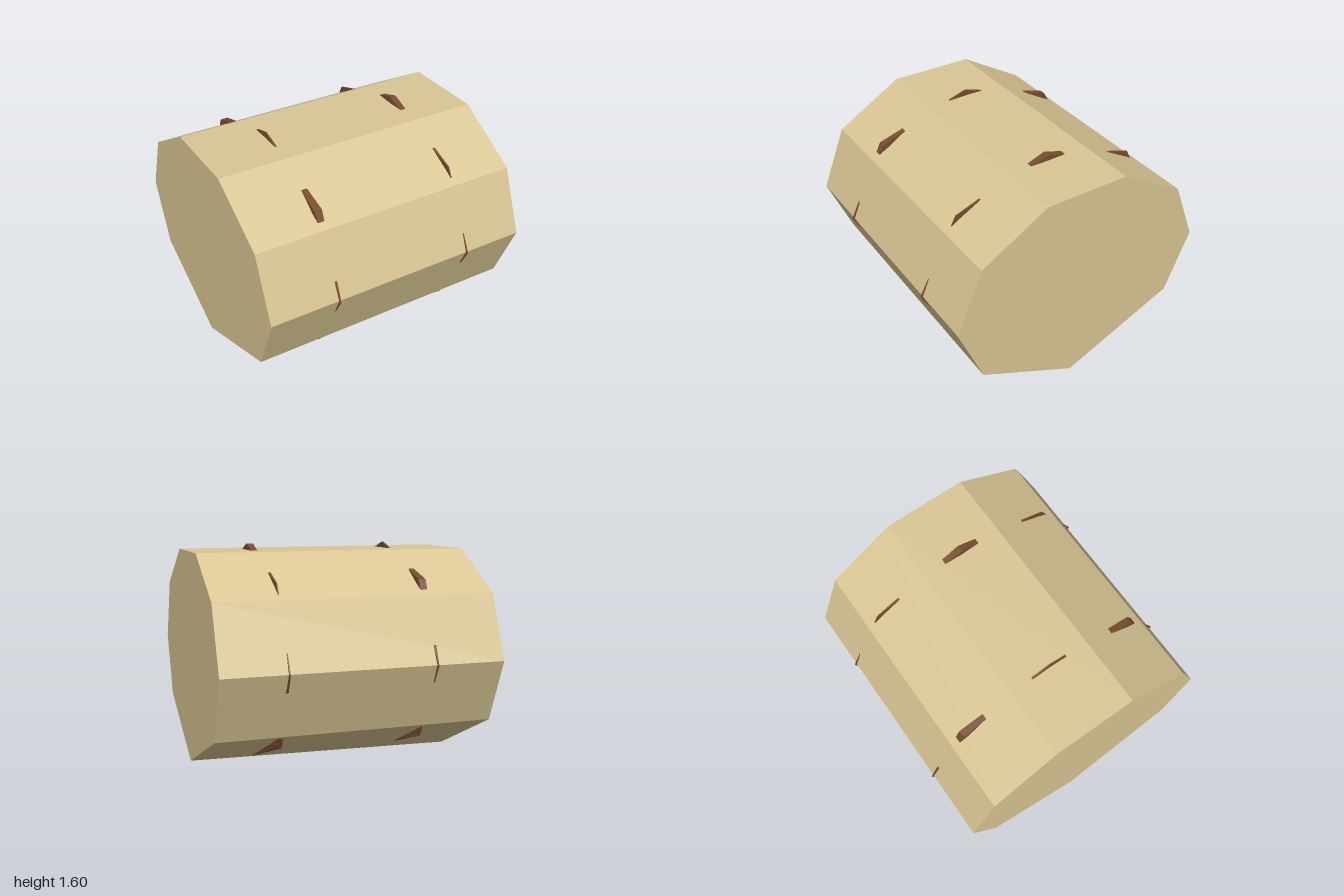
import * as THREE from 'three';
import { ConvexGeometry } from 'three/addons/geometries/ConvexGeometry.js';

const paleWood = new THREE.MeshStandardMaterial({ color: 0xdac694 });
paleWood.name = 'pale wood';
const darkBand = new THREE.MeshStandardMaterial({ color: 0x784c30 });
darkBand.name = 'dark band';

// Nine-sided faceted body; the bottom edge runs slightly askew.
function body() {
  const half = [[0.31, 1.555], [0.8, 1.27], [0.985, 0.815], [0.8, 0.36]];
  const points = [];
  for (const x of [-1, 1]) {
    for (const [z, y] of half) {
      points.push(new THREE.Vector3(x, y, z), new THREE.Vector3(x, y, -z));
    }
    points.push(new THREE.Vector3(x, 0, 0.06 * x));
  }
  const mesh = new THREE.Mesh(new ConvexGeometry(points), paleWood);
  mesh.name = 'body';
  return mesh;
}

// Thin eight-sided hoop whose corners poke through the body.
// widths: band width from top corner down to bottom corner, same on both sides.
function hoop(x, widths, name) {
  const half = [[0, 1.6], [0.71, 1.37], [1, 0.815], [0.71, 0.26], [0, 0.012]];
  const sections = [];
  for (let i = 0; i < 8; i++) {
    const k = i <= 4 ? i : 8 - i;
    const side = i <= 4 ? 1 : -1;
    const z = half[k][0] * side, y = half[k][1], w = widths[k] / 2;
    const zi = z * 0.75, yi = 0.81 + (y - 0.81) * 0.75;
    sections.push([[x - w, y, z], [x + w, y, z], [x + w, yi, zi], [x - w, yi, zi]]);
  }
  const positions = [];
  for (let i = 0; i < 8; i++) {
    const a = sections[i], b = sections[(i + 1) % 8];
    for (let j = 0; j < 4; j++) {
      const n = (j + 1) % 4;
      positions.push(...a[j], ...b[j], ...b[n], ...a[j], ...b[n], ...a[n]);
    }
  }
  const geometry = new THREE.BufferGeometry();
  geometry.setAttribute('position', new THREE.Float32BufferAttribute(positions, 3));
  geometry.computeVertexNormals();
  const mesh = new THREE.Mesh(geometry, darkBand);
  mesh.name = name;
  return mesh;
}

export function createModel() {
  const group = new THREE.Group();
  group.name = 'log';
  group.add(body());
  group.add(hoop(0.545, [0.05, 0.008, 0.008, 0.05, 0.008], 'leftHoop'));
  group.add(hoop(-0.495, [0.008, 0.055, 0.008, 0.012, 0.055], 'rightHoop'));
  return group;
}
